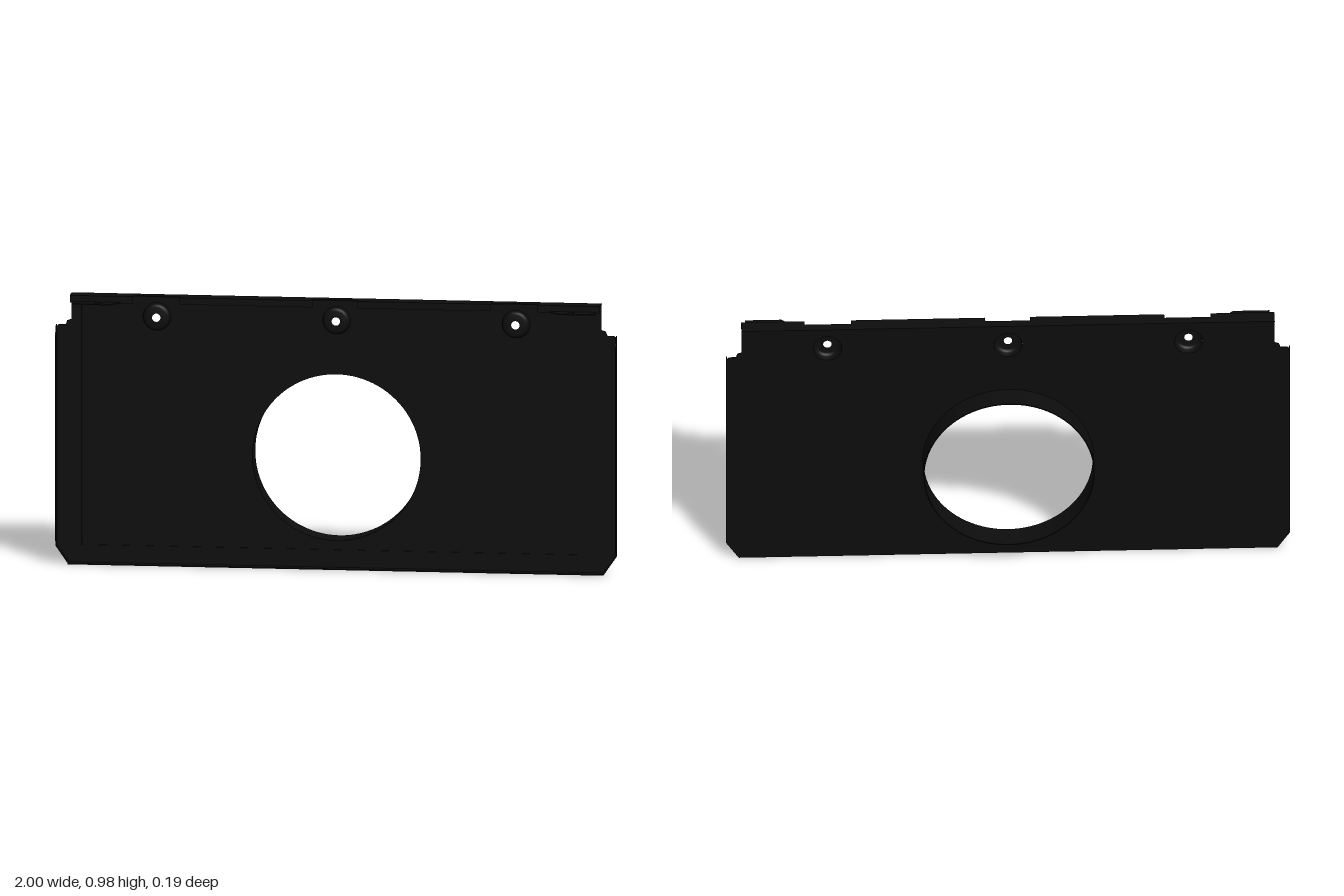
import * as THREE from 'three';

const T = 0.004; // sheet thickness

export function createModel() {
  const group = new THREE.Group();
  const black = new THREE.MeshStandardMaterial({ color: 0x0d0d0d, side: THREE.DoubleSide });
  black.name = 'black sheet metal';

  const add = (name, geometry, x = 0, y = 0, z = 0) => {
    const mesh = new THREE.Mesh(geometry, black);
    mesh.name = name;
    mesh.position.set(x, y, z);
    group.add(mesh);
    return mesh;
  };
  // Flat plate from an outline, with round holes given as [x, y, radius]
  const plate = (points, depth = T, holes = []) => {
    const shape = new THREE.Shape(points.map(p => new THREE.Vector2(...p)));
    for (const [x, y, r] of holes) {
      shape.holes.push(new THREE.Path().absarc(x, y, r, 0, Math.PI * 2, true));
    }
    return new THREE.ExtrudeGeometry(shape, { depth, bevelEnabled: false, curveSegments: 48 });
  };
  const rect = (x0, y0, x1, y1) => [[x0, y0], [x1, y0], [x1, y1], [x0, y1]];
  const screwX = [-0.64, 0, 0.64], screwY = 0.895;

  // Main panel with the duct opening and screw seats
  add('mainPanel', plate(rect(-0.912, 0.063, 0.912, 0.975), 0.005,
    [[0, 0.4, 0.3], ...screwX.map(x => [x, screwY, 0.05])]), 0, 0, -0.005);

  // Stepped rim round the sides and bottom
  const side = [[0.955, 0], [1, 0.065], [1, 0.85], [0.99, 0.86], [0.965, 0.86],
    [0.96, 0.875], [0.945, 0.88], [0.945, 0.975], [0.908, 0.975], [0.908, 0.067]];
  const mirrored = side.map(([x, y]) => [-x, y]).reverse();
  add('steppedRim', plate([...side, ...mirrored]), 0, 0, -0.001);

  // Round collar at the back
  const collar = [[0.3, 0], [0.3, -0.095], [0.304, -0.095], [0.304, 0], [0.3, 0]];
  const ringWall = (a, b) => new THREE.LatheGeometry([a, b].map(p => new THREE.Vector2(...p)), 96);
  for (let i = 0; i < 4; i++) {
    add('ductCollar', ringWall(collar[i], collar[i + 1]), 0, 0.4, 0).rotation.x = Math.PI / 2;
  }

  // Raised screw seats, hollow behind
  const seat = [[0.05, -0.004], [0.047, 0.012], [0.043, 0.019], [0.036, 0.022], [0.015, 0.022]];
  for (const x of screwX) {
    const geometry = new THREE.LatheGeometry(seat.map(p => new THREE.Vector2(...p)), 40);
    add('screwSeat', geometry, x, screwY, 0).rotation.x = Math.PI / 2;
  }

  // Side and corner flanges
  const flange = [[0, 0.065], [0.022, 0.065], [0.022, 0.08], [0.034, 0.09],
    [0.034, 0.825], [0.022, 0.837], [0.022, 0.85], [0, 0.86]];
  for (const s of [-1, 1]) {
    add('sideFlange', plate(flange), s > 0 ? 1 : -1 + T).rotation.y = -Math.PI / 2;
    const corner = [[0.955, 0], [1, 0.065], [0.996, 0.067], [0.951, 0.003]];
    add('cornerFlange', plate(corner.map(([x, y]) => [s * x, y]), 0.022));
  }

  // Horizontal plates: outlines are in x and z
  const level = (name, points, y, holes) => {
    add(name, plate(points, T, holes), 0, y, 0).rotation.x = Math.PI / 2;
  };
  level('bottomFlange', rect(-0.955, 0, 0.955, 0.034), T);
  level('topFlange', rect(-0.945, -0.005, 0.945, 0.03), 0.975);

  // Stepped top lips and the end tabs with holes
  for (const s of [-1, 1]) {
    for (const [a, b] of [[0.08, 0.555], [0.72, 0.945]]) {
      level('topLip', rect(s * a, 0.029, s * b, 0.052), 0.975);
      add('lipDrop', new THREE.BoxGeometry(b - a, 0.025, T), s * (a + b) / 2, 0.9625, 0.05);
    }
    const tab = [[0.765, 0.05], [0.93, 0.05], [0.93, 0.095], [0.80, 0.095], [0.765, 0.06]];
    level('mountingTab', tab.map(([x, z]) => [s * x, z]), 0.954, [[s * 0.845, 0.073, 0.01]]);
  }
  return group;
}
